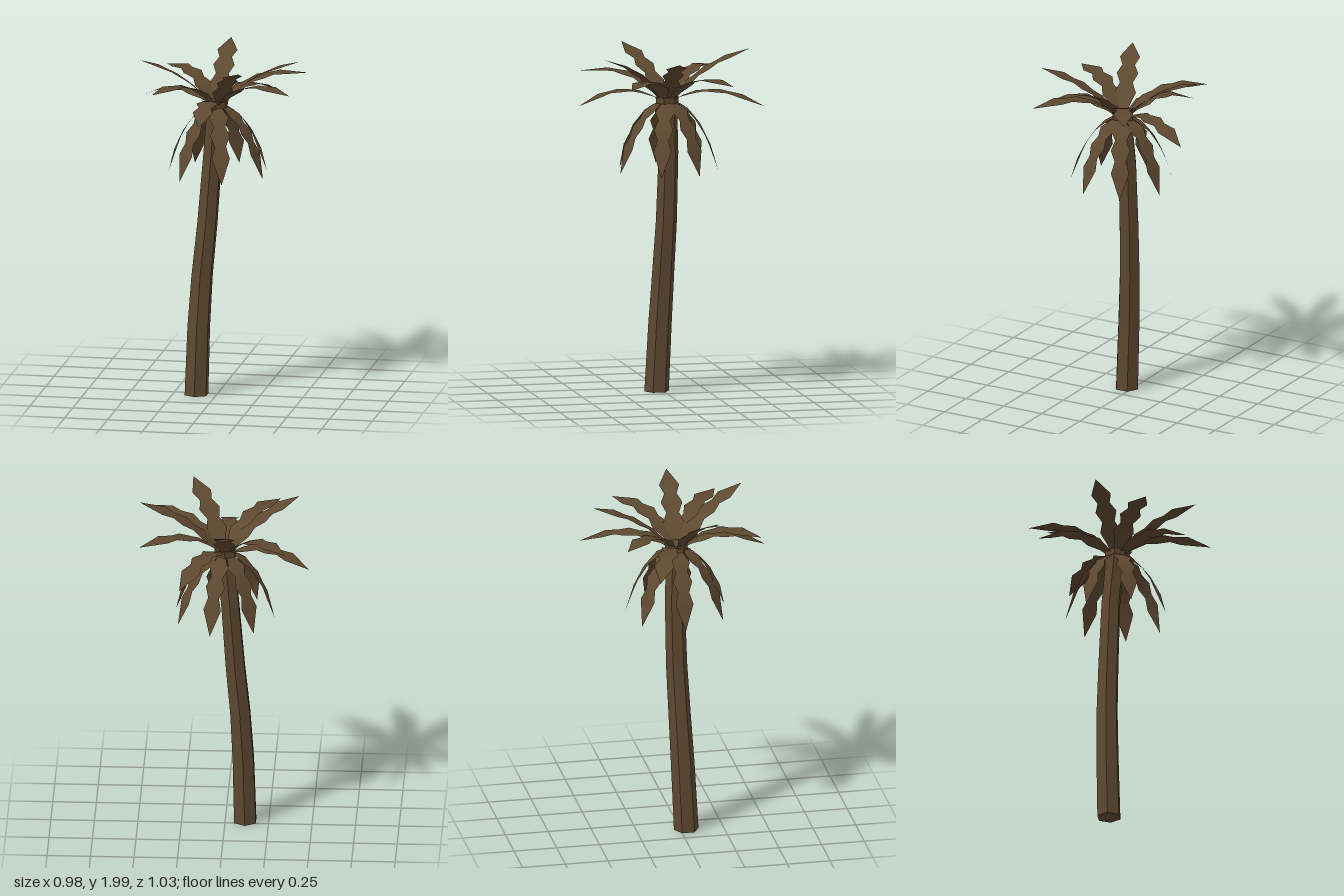
import * as THREE from 'three';

const brown = new THREE.MeshStandardMaterial({ color: 0x5e4830, flatShading: true });
brown.name = 'bark brown';
const leafBrown = new THREE.MeshStandardMaterial({ color: 0x5e4830, flatShading: true, side: THREE.DoubleSide });
leafBrown.name = 'frond brown';

// Trunk rings from the ground up: height, centre x, centre z, radius
const RINGS = [
  [0, -0.115, 0.035, 0.072],
  [0.4, -0.105, 0.017, 0.069],
  [0.7, -0.088, 0.002, 0.065],
  [1.0, -0.06, -0.01, 0.062],
  [1.4, -0.03, -0.015, 0.058],
  [1.6, -0.012, -0.006, 0.058],
  [1.73, 0.0, 0.0, 0.068],
];

// Six-sided column bent to follow the rings
function makeTrunk() {
  const n = RINGS.length - 1;
  const geo = new THREE.CylinderGeometry(1, 1, n, 6, n);
  const p = geo.attributes.position;
  for (let i = 0; i < p.count; i++) {
    const [y, cx, cz, r] = RINGS[Math.round(p.getY(i) + n / 2)];
    p.setXYZ(i, cx + p.getX(i) * r, y, cz + p.getZ(i) * r);
  }
  geo.computeVertexNormals();
  const mesh = new THREE.Mesh(geo, brown);
  mesh.name = 'trunk';
  return mesh;
}

// Frond outline: position along the midrib, half width
const OUTLINE = [[0, 0.02], [0.13, 0.035], [0.27, 0.062], [0.4, 0.037],
  [0.53, 0.062], [0.65, 0.036], [0.77, 0.058], [1, 0]];

// Jagged blade along an arched midrib, ending at (x, y, z)
function makeFrond(tip, control, widthScale) {
  const [x, y, z] = tip;
  const reach = Math.hypot(x, z);
  const dx = x / reach, dz = z / reach;
  const rib = new THREE.QuadraticBezierCurve(
    new THREE.Vector2(0.03, 1.705),
    new THREE.Vector2(control[0], control[1]),
    new THREE.Vector2(reach, y));
  const pos = [], index = [];
  OUTLINE.forEach(([t, half], i) => {
    const q = rib.getPoint(t), w = half * widthScale;
    pos.push(q.x * dx - dz * w, q.y, q.x * dz + dx * w);
    pos.push(q.x * dx + dz * w, q.y, q.x * dz - dx * w);
    if (i === 0) return;
    const a = 2 * i - 2;
    index.push(a, a + 2, a + 1);
    if (half > 0) index.push(a + 1, a + 2, a + 3);
    });
  const geo = new THREE.BufferGeometry();
  geo.setAttribute('position', new THREE.Float32BufferAttribute(pos, 3));
  geo.setIndex(index);
  geo.computeVertexNormals();
  return new THREE.Mesh(geo, leafBrown);
}

// Crown tiers: tip height, midrib control point, width, tip (x, z) pairs
const TIERS = [
  { name: 'raisedFrond', y: 1.99, control: [0.18, 1.91], width: 1,
    tips: [[-0.01, -0.49], [0.49, 0.04], [0.2, 0.42], [-0.42, 0.17]] },
  { name: 'archedFrond', y: 1.85, control: [0.2, 1.92], width: 1,
    tips: [[0.48, -0.28], [0.48, 0.32], [-0.3, 0.44], [-0.36, -0.355]] },
  { name: 'levelFrond', y: 1.69, control: [0.25, 1.85], width: 1,
    tips: [[0.24, -0.52], [-0.015, 0.515], [-0.49, -0.19]] },
  { name: 'droopingFrond', y: 1.3, control: [0.2, 1.65], width: 0.9,
    tips: [[-0.285, 0], [-0.175, 0.24], [0.08, 0.295], [0.285, 0.1],
      [0.265, -0.13], [0.075, -0.285], [-0.175, -0.235]] },
];

export function createModel() {
  const palm = new THREE.Group();
  palm.name = 'palmTree';
  palm.add(makeTrunk());
  const crown = new THREE.Group();
  crown.name = 'crown';
  for (const tier of TIERS) {
    tier.tips.forEach(([x, z], i) => {
      const frond = makeFrond([x, tier.y, z], tier.control, tier.width);
      frond.name = tier.name + (i + 1);
      crown.add(frond);
    });
  }
  palm.add(crown);
  return palm;
}
